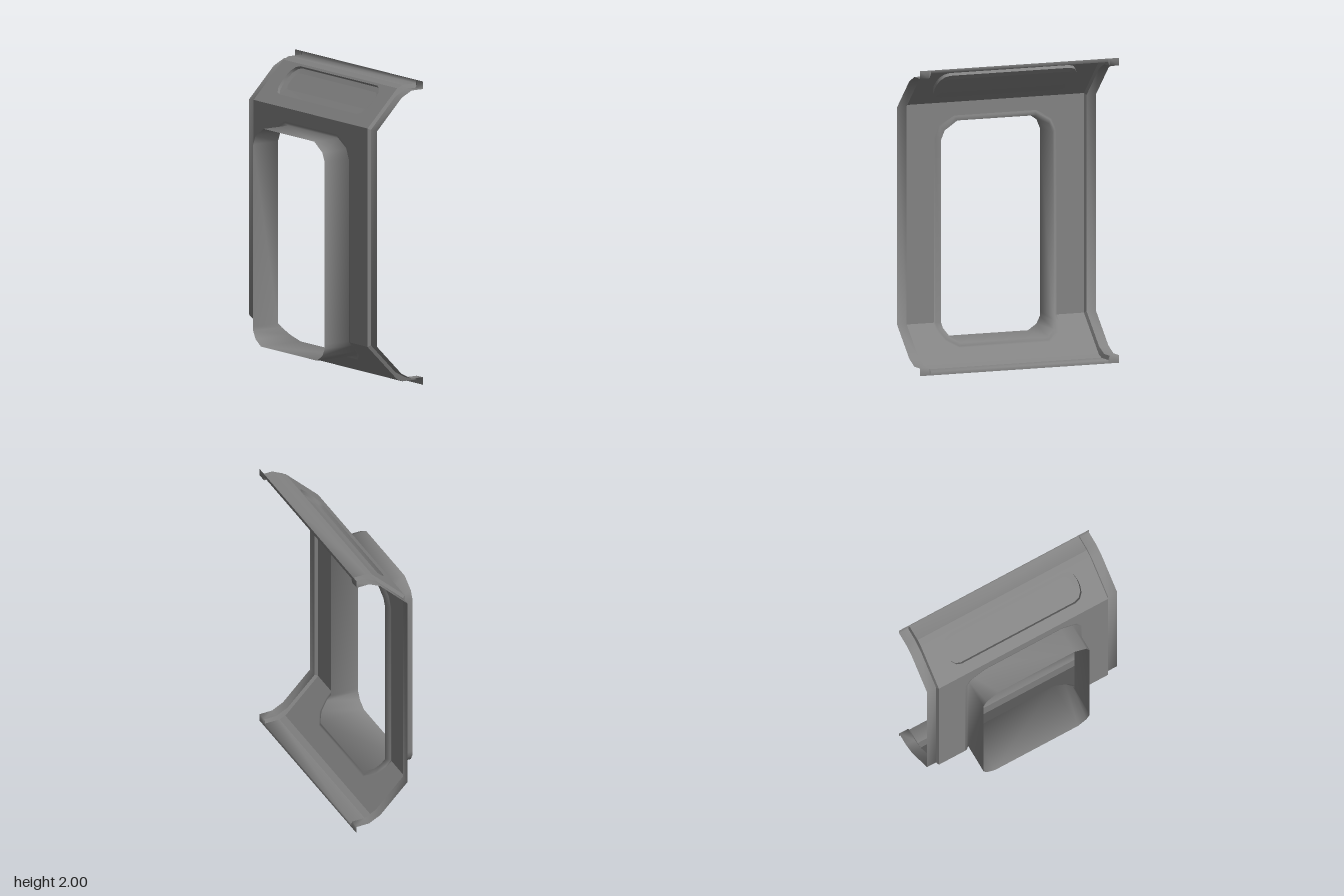
import * as THREE from 'three';
import { toCreasedNormals } from 'three/addons/utils/BufferGeometryUtils.js';

const material = new THREE.MeshStandardMaterial({ color: 0x838383, side: THREE.DoubleSide });

// Side profiles as [y, z] ending in an upright lip, upper half; the lower half mirrors it about y = 1
const mirrorProfile = (half) => [...half.map(([y, z]) => [2 - y, z]).reverse(), ...half];
const PANEL = mirrorProfile([[1.72, 0.107], [1.96, -0.13], [1.977, -0.172], [1.977, -0.28], [2, -0.28]]);
const FLANGE = mirrorProfile([[1.71, 0.087], [1.91, -0.11], [1.95, -0.19], [1.95, -0.28], [2, -0.28]]);
const PANEL_X = 0.63, FLANGE_X = 0.64, OUTER_X = 0.707;
const FOLD_LOW = 0.28, FOLD_HIGH = 1.72;
const SMOOTH = Math.PI;

// Depth of the folded panel at height y
function panelZ(y) {
  let i = 2;
  while (i < 6 && y > PANEL[i + 1][0] + 1e-6) i++;
  const [y0, z0] = PANEL[i], [y1, z1] = PANEL[i + 1];
  return z0 + (z1 - z0) * (y - y0) / (y1 - y0);
}

// Skin between successive rows of [x, y, z] points
function loft(rows, closed, crease = 0.3) {
  const n = rows[0].length, index = [];
  for (let r = 0; r < rows.length - 1; r++) {
    for (let i = 0; i < (closed ? n : n - 1); i++) {
      const j = (i + 1) % n;
      const a = r * n + i, b = r * n + j, d = a + n, c = b + n;
      index.push(a, d, c, a, c, b);
    }
  }
  const g = new THREE.BufferGeometry();
  g.setAttribute('position', new THREE.Float32BufferAttribute(rows.flat(2), 3));
  g.setIndex(index);
  return toCreasedNormals(g, crease);
}

// Flat outline laid onto a depth rule
function sheet(outline, depth, hole) {
  const toVec = ([x, y]) => new THREE.Vector2(x, y);
  const shape = new THREE.Shape(outline.map(toVec));
  if (hole) shape.holes.push(new THREE.Path(hole.map(toVec)));
  const g = new THREE.ShapeGeometry(shape);
  const p = g.attributes.position;
  for (let i = 0; i < p.count; i++) p.setZ(i, depth(p.getY(i)));
  g.computeVertexNormals();
  return g;
}

// Full clockwise outline from its right half (listed bottom to top)
const fullOutline = (half) => [...half.map(([x, y]) => [-x, y]), ...[...half].reverse()];

// Rounded bar outline for the pocket, clockwise
function barOutline(hx, y0, y1, r) {
  const half = [];
  for (const [cy, start] of [[y0 + r, -Math.PI / 2], [y1 - r, 0]]) {
    for (let i = 0; i <= 3; i++) {
      const a = start + (i / 3) * Math.PI / 2;
      half.push([hx - r + r * Math.cos(a), cy + r * Math.sin(a)]);
    }
  }
  return fullOutline(half);
}

export function createModel() {
  const group = new THREE.Group();
  const add = (name, geometry) => {
    const mesh = new THREE.Mesh(geometry, material);
    mesh.name = name;
    group.add(mesh);
  };

  // Window outlines: sleeve edge and wider opening in the panel
  const inner = [[0.31, 0.16], [0.37, 0.2], [0.395, 0.25], [0.395, FOLD_LOW],
    [0.395, 1.48], [0.37, 1.54], [0.28, 1.6]];
  const opening = [[0.32, 0.13], [0.4, 0.175], [0.435, 0.24], [0.435, FOLD_LOW],
    [0.435, 1.49], [0.4, 1.57], [0.29, 1.63]];

  // Front panel, notched by the window from below
  add('frontPanel', sheet([
    [PANEL_X, FOLD_LOW], [PANEL_X, FOLD_HIGH], [-PANEL_X, FOLD_HIGH], [-PANEL_X, FOLD_LOW],
    ...fullOutline(opening.slice(3)),
  ], panelZ));

  // Lower slope, notched by the window from above
  const lowerNotch = opening.slice(0, 4);
  const low = PANEL[3][0];
  add('lowerSlope', sheet([
    [-PANEL_X, FOLD_LOW], [-PANEL_X, low], [PANEL_X, low], [PANEL_X, FOLD_LOW],
    ...[...lowerNotch].reverse(), ...lowerNotch.map(([x, y]) => [-x, y]),
  ], panelZ));

  // Upper slope with the pocket cut out
  const pocket = barOutline(0.495, 1.78, 1.948, 0.07);
  const high = PANEL[6][0];
  add('upperSlope', sheet([
    [-PANEL_X, FOLD_HIGH], [PANEL_X, FOLD_HIGH], [PANEL_X, high], [-PANEL_X, high],
  ], panelZ, pocket));

  // Pocket walls and slightly dished floor, sunk square to the slope
  const sink = (outline, d) => outline.map(([x, y]) => [x, y - d, panelZ(y) - d]);
  const floor = barOutline(0.455, 1.825, 1.922, 0.04);
  add('pocketWall', loft([sink(pocket, 0), sink(pocket, 0.016)], true, 0.8));
  add('pocketRim', loft([sink(pocket, 0.016), sink(floor, 0.019)], true, SMOOTH));
  add('pocketFloor', sheet(floor.map(([x, y]) => [x, y - 0.019]), (y) => panelZ(y + 0.019) - 0.019));

  // Window sleeve: softly dipped root, then straight forward
  const innerRing = fullOutline(inner), openRing = fullOutline(opening);
  const rootRing = openRing.map(([x, y], i) => [
    x + (innerRing[i][0] - x) * 0.3, y + (innerRing[i][1] - y) * 0.3]);
  const onPanel = (ring, d) => ring.map(([x, y]) => [x, y, panelZ(y) - d]);
  add('windowSleeve', loft([
    onPanel(openRing, 0), onPanel(rootRing, 0), onPanel(innerRing, 0.025),
    innerRing.map(([x, y]) => [x, y, 0.28]),
  ], true, SMOOTH));

  // Ends of the panel, top and bottom: narrow bevel, then a curl into the upright lip
  const strip = (profile, x) => profile.map(([y, z]) => [x, y, z]);
  const across = (part, crease) => loft([strip(part, -PANEL_X), strip(part, PANEL_X)], false, crease);
  add('bottomBevel', across(PANEL.slice(2, 4)));
  add('topBevel', across(PANEL.slice(6, 8)));
  add('bottomCurl', across(PANEL.slice(0, 3), SMOOTH));
  add('topCurl', across(PANEL.slice(7), SMOOTH));

  // Recessed side flanges with their step walls
  for (const [side, s] of [['left', 1], ['right', -1]]) {
    const wall = [strip(PANEL, s * PANEL_X), strip(FLANGE, s * FLANGE_X)];
    const flange = [strip(FLANGE, s * FLANGE_X), strip(FLANGE, s * OUTER_X)];
    if (s < 0) { wall.reverse(); flange.reverse(); }
    add(side + 'StepWall', loft(wall, false));
    add(side + 'Flange', loft(flange, false, SMOOTH));
  }

  return group;
}
